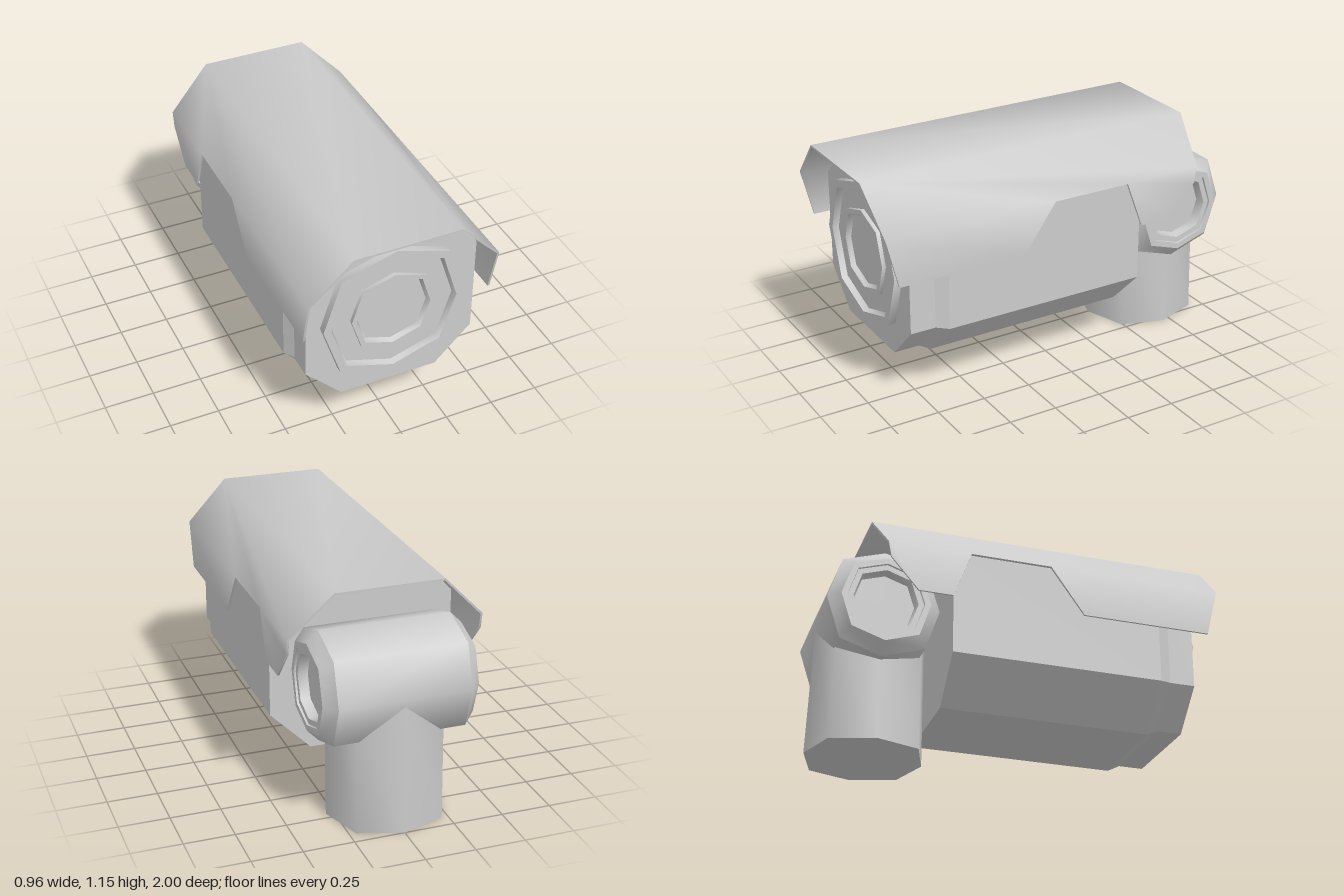
import * as THREE from 'three';
import { mergeGeometries, toCreasedNormals } from 'three/addons/utils/BufferGeometryUtils.js';

const grey = new THREE.MeshStandardMaterial({ color: 0xcccccc });
const greyFlat = new THREE.MeshStandardMaterial({ color: 0xcccccc, flatShading: true });
const CY = 0.677; // height of the lens and pivot axes

function mesh(name, geometry, material = grey) {
  const m = new THREE.Mesh(geometry, material);
  m.name = name;
  return m;
}

function fromTriangles(tris) {
  const g = new THREE.BufferGeometry();
  g.setAttribute('position', new THREE.Float32BufferAttribute(tris.flat(2), 3));
  g.computeVertexNormals();
  return g;
}

// Eight-sided turned part, smooth around but sharp between profile steps; diagonals sit slightly further out
function turned(profile) {
  const bands = [];
  for (let i = 0; i + 1 < profile.length; i++) {
    const pts = [profile[i], profile[i + 1]].map(([r, h]) => new THREE.Vector2(r, h));
    const g = new THREE.LatheGeometry(pts, 8);
    const p = g.attributes.position;
    for (let v = 0; v < p.count; v++) {
      const k = Math.floor(v / 2) % 2 ? 1.065 : 1;
      p.setXYZ(v, p.getX(v) * k, p.getY(v), p.getZ(v) * k);
    }
    bands.push(toCreasedNormals(g, 1.0));
  }
  return mergeGeometries(bands);
}

// Chamfered body section, counter-clockwise seen from the front
function bodySection(z, inset) {
  const w = 0.465 - inset, c = 0.26 - inset / 3;
  const lo = 0.205 + inset, hi = 1.142 - inset;
  const s0 = 0.41 + inset / 3, s1 = 0.938 - inset / 3;
  return [[w, s0], [w, s1], [c, hi], [-c, hi], [-w, s1], [-w, s0], [-c, lo], [c, lo]]
    .map(([x, y]) => [x, y, z]);
}

function bodyGeometry() {
  const rings = [bodySection(-0.405, 0), bodySection(0.66, 0), bodySection(0.72, 0.03), bodySection(0.85, 0.03)];
  const tris = [];
  for (let r = 0; r < 3; r++) {
    for (let i = 0; i < 8; i++) {
      const j = (i + 1) % 8, a = rings[r], b = rings[r + 1];
      tris.push([a[i], a[j], b[j]], [a[i], b[j], b[i]]);
    }
  }
  for (let i = 1; i < 7; i++) {
    tris.push([rings[3][0], rings[3][i], rings[3][i + 1]]);
    tris.push([rings[0][0], rings[0][i + 1], rings[0][i]]);
  }
  return fromTriangles(tris);
}

// Folded sheet: convex panels doubled by an inner skin, with walls along the free edges
function shieldGeometry() {
  const top = z => [0.27, 1.155, z];
  const shoulder = z => [0.48, 0.94, z];
  const side = (y, z) => [0.48, y, z];
  const half = [
    [top(1), shoulder(0.98), shoulder(0.09), shoulder(-0.32), shoulder(-0.735), top(-0.775)],
    [shoulder(0.98), side(0.7, 0.92), side(0.7, 0.26), shoulder(0.09)],
    [shoulder(-0.32), side(0.7, -0.41), side(0.7, -0.58), side(0.86, -0.72), shoulder(-0.735)],
  ];
  const flip = ([x, y, z]) => [-x, y, z];
  const panels = [
    ...half,
    ...half.map(p => p.map(flip).reverse()),
    [flip(top(1)), top(1), top(-0.775), flip(top(-0.775))],
  ];
  const inner = ([x, y, z]) => [
    Math.sign(x) * (Math.abs(x) > 0.4 ? 0.47 : 0.266),
    y > 1 ? 1.145 : y > 0.9 ? 0.936 : y,
    z,
  ];

  const tris = [];
  const edges = new Map();
  for (const p of panels) {
    for (let i = 1; i + 1 < p.length; i++) {
      tris.push([p[0], p[i], p[i + 1]]);
      tris.push([inner(p[0]), inner(p[i + 1]), inner(p[i])]);
    }
    p.forEach((a, i) => {
      const b = p[(i + 1) % p.length];
      if (!edges.delete(`${b}|${a}`)) edges.set(`${a}|${b}`, [a, b]);
    });
  }
  for (const [a, b] of edges.values()) {
    tris.push([a, inner(a), inner(b)], [a, inner(b), b]);
  }
  return toCreasedNormals(fromTriangles(tris), 0.9);
}

export function createModel() {
  const model = new THREE.Group();
  model.name = 'securityCamera';

  model.add(mesh('body', bodyGeometry(), greyFlat));
  model.add(mesh('sunShield', shieldGeometry()));

  // Lens: outer rim, sunken floor, raised inner ring
  const lens = mesh('lens', turned([
    [0.363, 0.84], [0.363, 0.89], [0.323, 0.89], [0.313, 0.86], [0.215, 0.86],
    [0.215, 0.88], [0.19, 0.88], [0.178, 0.856], [0, 0.856],
  ]));
  lens.rotation.x = Math.PI / 2;
  lens.position.y = CY;
  model.add(lens);

  // Sideways pivot barrel with bevelled, recessed ends
  const end = [[0.278, 0.325], [0.22, 0.382], [0.19, 0.382], [0.188, 0.372], [0.16, 0.372], [0.15, 0.325], [0, 0.325]];
  const otherEnd = end.map(([r, h]) => [r, -h]).reverse();
  const pivot = mesh('pivot', turned([...otherEnd, ...end]));
  pivot.rotation.z = Math.PI / 2;
  pivot.position.set(0, CY + 0.003, -0.712);
  model.add(pivot);

  // Mounting post, its back leaning slightly inward towards the top
  const post = turned([[0, 0], [0.289, 0], [0.289, 0.65], [0, 0.65]]);
  const p = post.attributes.position;
  for (let i = 0; i < p.count; i++) {
    if (p.getY(i) > 0.6 && p.getZ(i) < -0.01) p.setZ(i, p.getZ(i) * 0.92);
  }
  const postMesh = mesh('mountPost', post);
  postMesh.position.z = -0.711;
  model.add(postMesh);

  return model;
}
